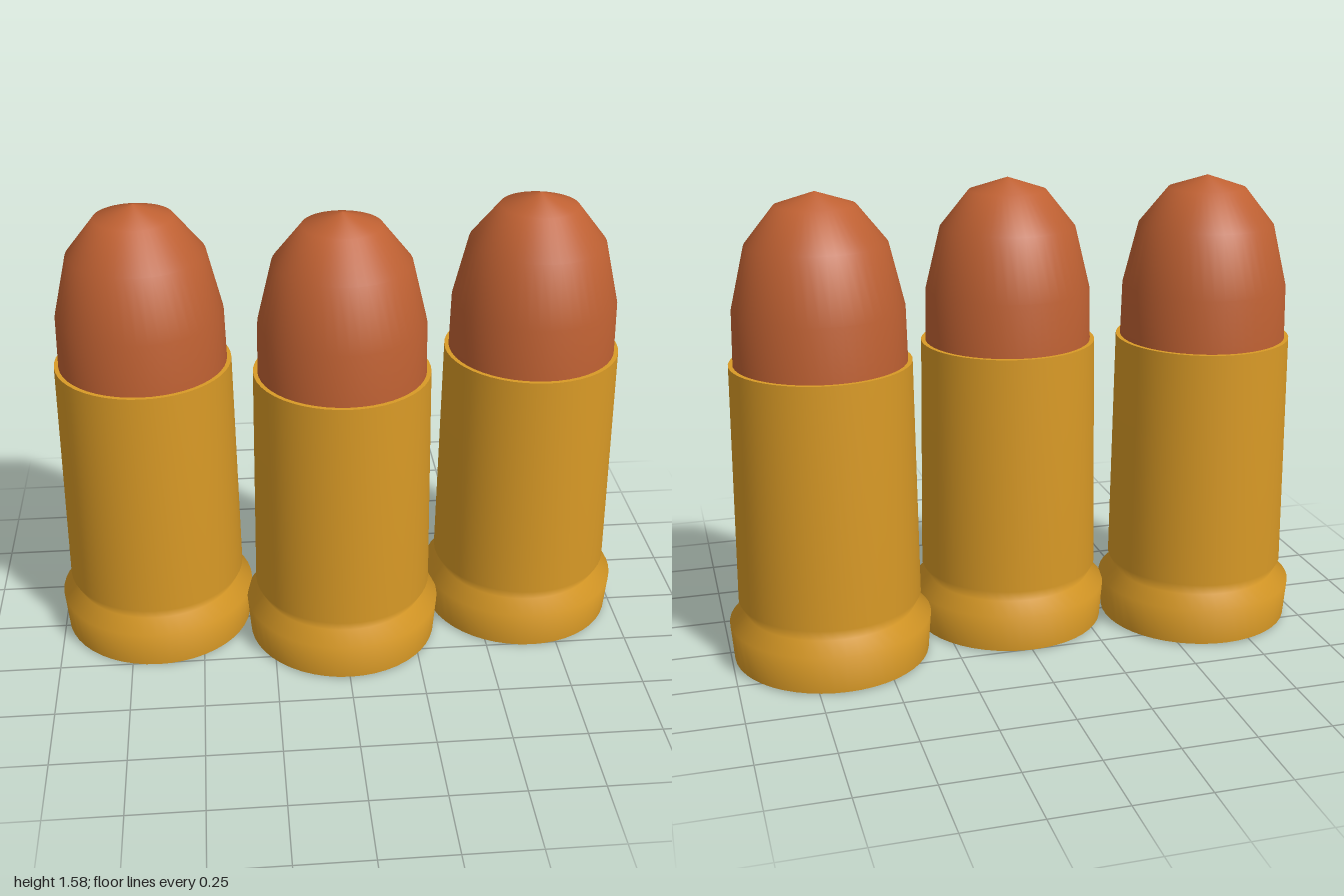
import * as THREE from 'three';

const SEGMENTS = 48;

const brass = new THREE.MeshStandardMaterial({ color: 0xd99a26 });
brass.name = 'brass';
const copper = new THREE.MeshStandardMaterial({ color: 0xbe6032 });
copper.name = 'copper';
const dark = new THREE.MeshStandardMaterial({ color: 0x1d1b20 });
dark.name = 'dark primer';

// Revolve a [radius, height] profile, listed from bottom to top
function turned(name, profile, material) {
  const points = profile.map(([r, y]) => new THREE.Vector2(r, y));
  const mesh = new THREE.Mesh(new THREE.LatheGeometry(points, SEGMENTS), material);
  mesh.name = name;
  return mesh;
}

function createCartridge() {
  const cartridge = new THREE.Group();
  cartridge.name = 'cartridge';

  // Case: flat base, rim, extractor groove, slightly tapered wall and mouth
  cartridge.add(
    turned('caseBase', [[0, 0.006], [0.33, 0.006]], brass),
    turned('caseWall', [
      [0.33, 0.006], [0.34, 0.135], [0.283, 0.17], [0.307, 0.215], [0.296, 1.027],
    ], brass),
    turned('caseMouth', [[0.296, 1.027], [0.278, 1.027]], brass),
  );

  // Rounded bullet seated in the mouth
  cartridge.add(turned('bullet', [
    [0.282, 1.0], [0.277, 1.205], [0.227, 1.412], [0.13, 1.533], [0, 1.576],
  ], copper));

  // Primer disc, standing a little proud of the base
  const primer = new THREE.Mesh(new THREE.CylinderGeometry(0.11, 0.11, 0.008, 32), dark);
  primer.name = 'primer';
  primer.position.y = 0.004;
  cartridge.add(primer);
  return cartridge;
}

export function createModel() {
  const model = new THREE.Group();
  model.name = 'cartridges';

  // Three in a row, the middle one stepped forward
  for (const side of [-1, 0, 1]) {
    const cartridge = createCartridge();
    cartridge.name = ['rightCartridge', 'middleCartridge', 'leftCartridge'][side + 1];
    cartridge.position.set(side * 0.66, 0, side === 0 ? 0.064 : -0.064);
    model.add(cartridge);
  }
  return model;
}
